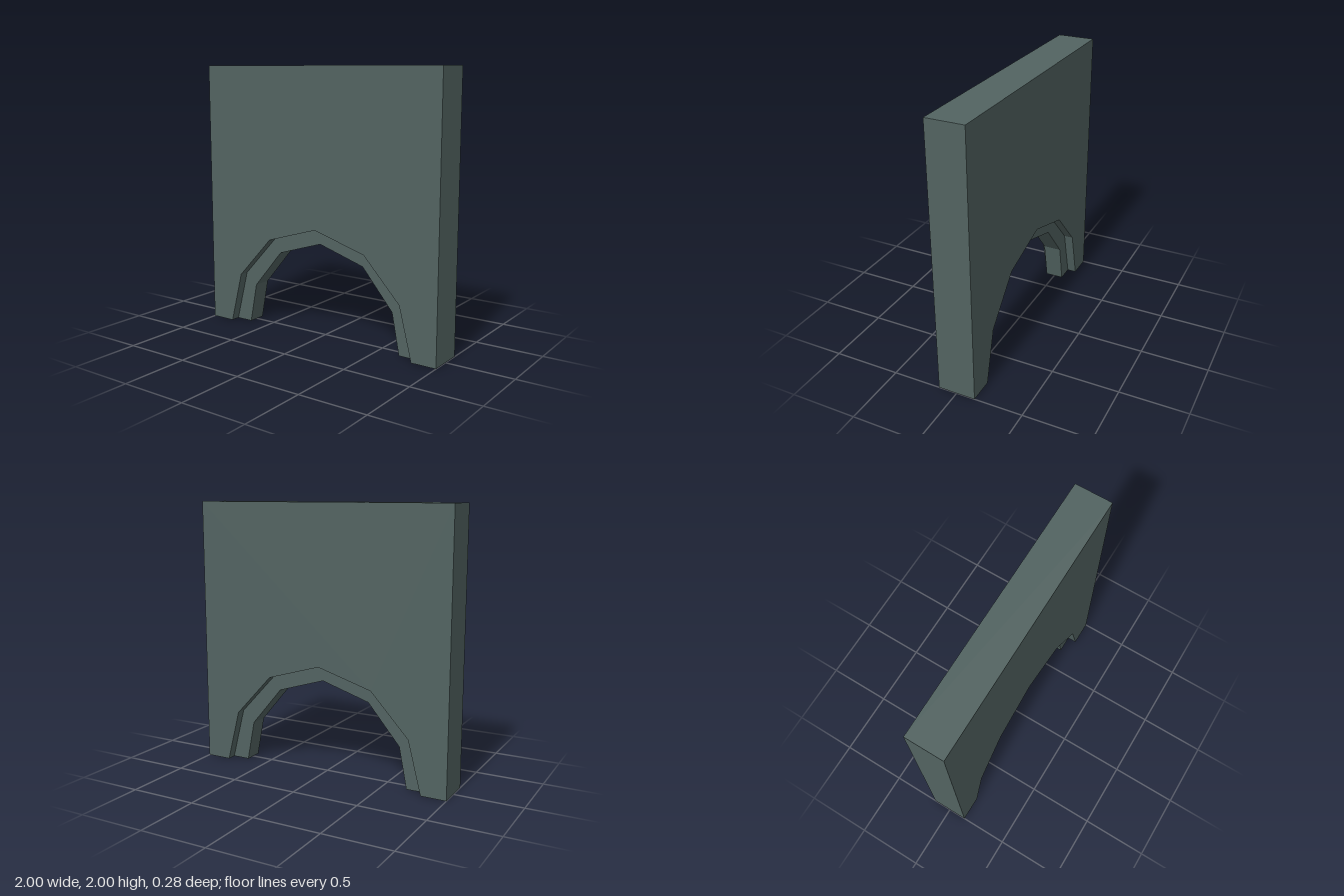
import * as THREE from 'three';

// Right half of each arch, from foot to crown
const OUTER = [[0.81, 0], [0.71, 0.39], [0.42, 0.7], [0, 0.825]];
const INNER = [[0.675, 0], [0.615, 0.305], [0.37, 0.595], [0, 0.71]];

// Full arch from the right foot over the crown to the left foot
function arch(half) {
  const left = half.slice(0, -1).reverse().map(([x, y]) => [-x, y]);
  return [...half, ...left].map(([x, y]) => new THREE.Vector2(x, y));
}

// Extrude an outline, centred on z = 0
function slab(name, points, depth, material) {
  const geometry = new THREE.ExtrudeGeometry(new THREE.Shape(points), { depth, bevelEnabled: false });
  geometry.translate(0, 0, -depth / 2);
  const mesh = new THREE.Mesh(geometry, material);
  mesh.name = name;
  return mesh;
}

export function createModel() {
  const group = new THREE.Group();
  group.name = 'archedWall';
  const stone = new THREE.MeshStandardMaterial({ color: 0x526361, flatShading: true });
  stone.name = 'slate grey stone';

  // Wall with the wide arched opening
  const corners = [[-1, 0], [-1, 2], [1, 2], [1, 0]].map(([x, y]) => new THREE.Vector2(x, y));
  group.add(slab('wall', [...corners, ...arch(OUTER)], 0.28, stone));

  // Thinner rib lining the opening, stepped back on both sides
  group.add(slab('archRib', [...arch(OUTER), ...arch(INNER).reverse()], 0.14, stone));

  return group;
}
